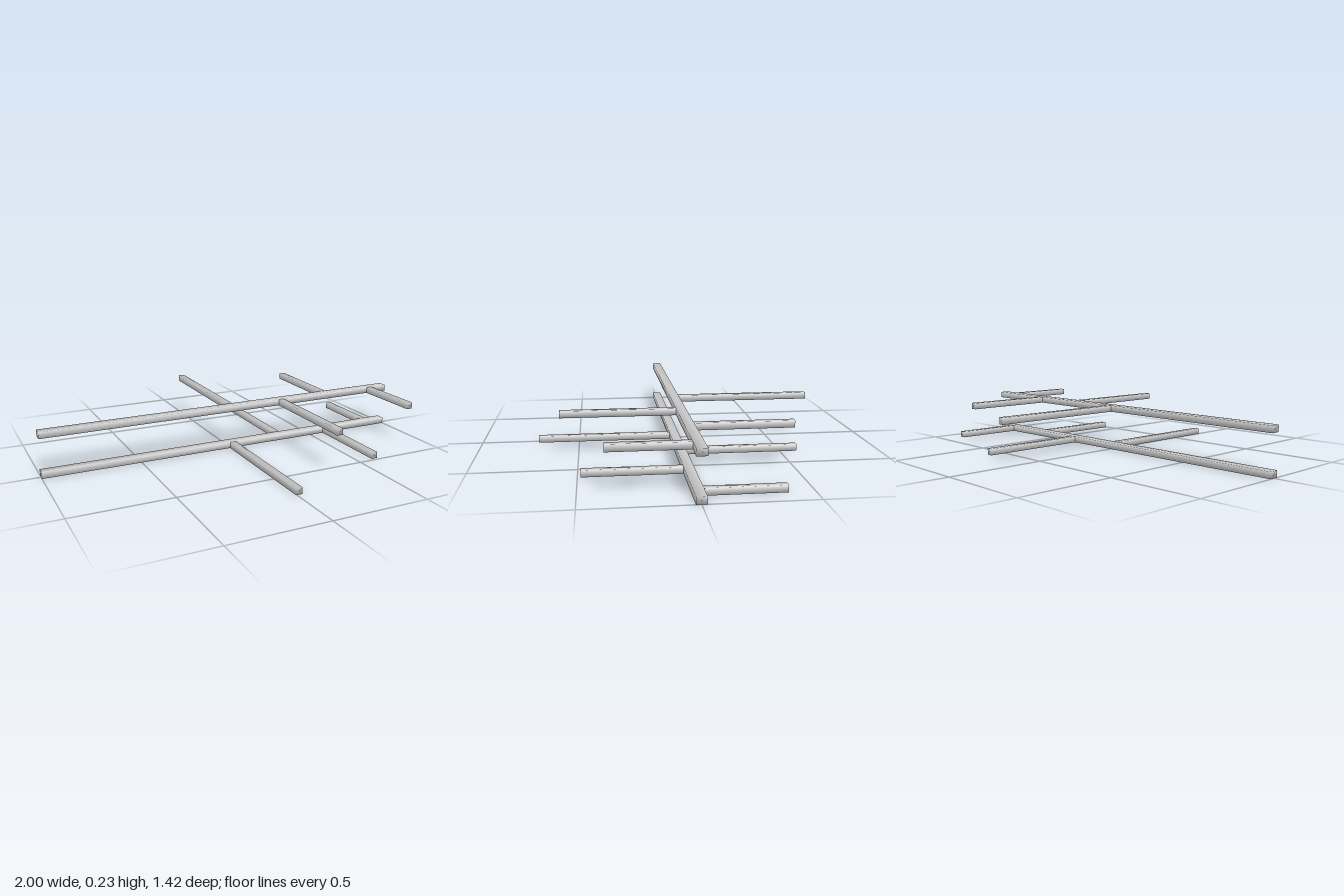
import * as THREE from 'three';
import { mergeVertices } from 'three/addons/utils/BufferGeometryUtils.js';

const HEIGHT = 0.033, RAIL_WIDTH = 0.048, ROD_WIDTH = 0.032;
const material = new THREE.MeshStandardMaterial({ color: 0xcccccc });

// Square bar with normals shared across its edges, so it shades softly
function bar(name, width, depth, x, z) {
  const box = new THREE.BoxGeometry(width, HEIGHT, depth);
  box.deleteAttribute('normal');
  box.deleteAttribute('uv');
  const geometry = mergeVertices(box);
  geometry.computeVertexNormals();
  const mesh = new THREE.Mesh(geometry, material);
  mesh.name = name;
  mesh.position.set(x, HEIGHT / 2, z);
  return mesh;
}

// One layer: a long rail with rods that alternate sides and get shorter
function layer(name, firstSide) {
  const group = new THREE.Group();
  group.name = name;
  group.add(bar('rail', 2, RAIL_WIDTH, 0, 0));
  const rods = [[0.013, 0.71], [0.305, 0.585], [0.597, 0.485], [0.887, 0.383]];
  rods.forEach(([x, reach], i) => {
    const side = i % 2 ? -firstSide : firstSide;
    const inner = RAIL_WIDTH / 2;
    group.add(bar('sideRod' + (i + 1), ROD_WIDTH, reach - inner, x, side * (reach + inner) / 2));
  });
  return group;
}

export function createModel() {
  const model = new THREE.Group();
  model.name = 'branchedRails';
  const lower = layer('lowerLayer', 1);
  const upper = layer('upperLayer', -1);
  upper.position.y = 0.201;
  model.add(lower, upper);
  return model;
}
